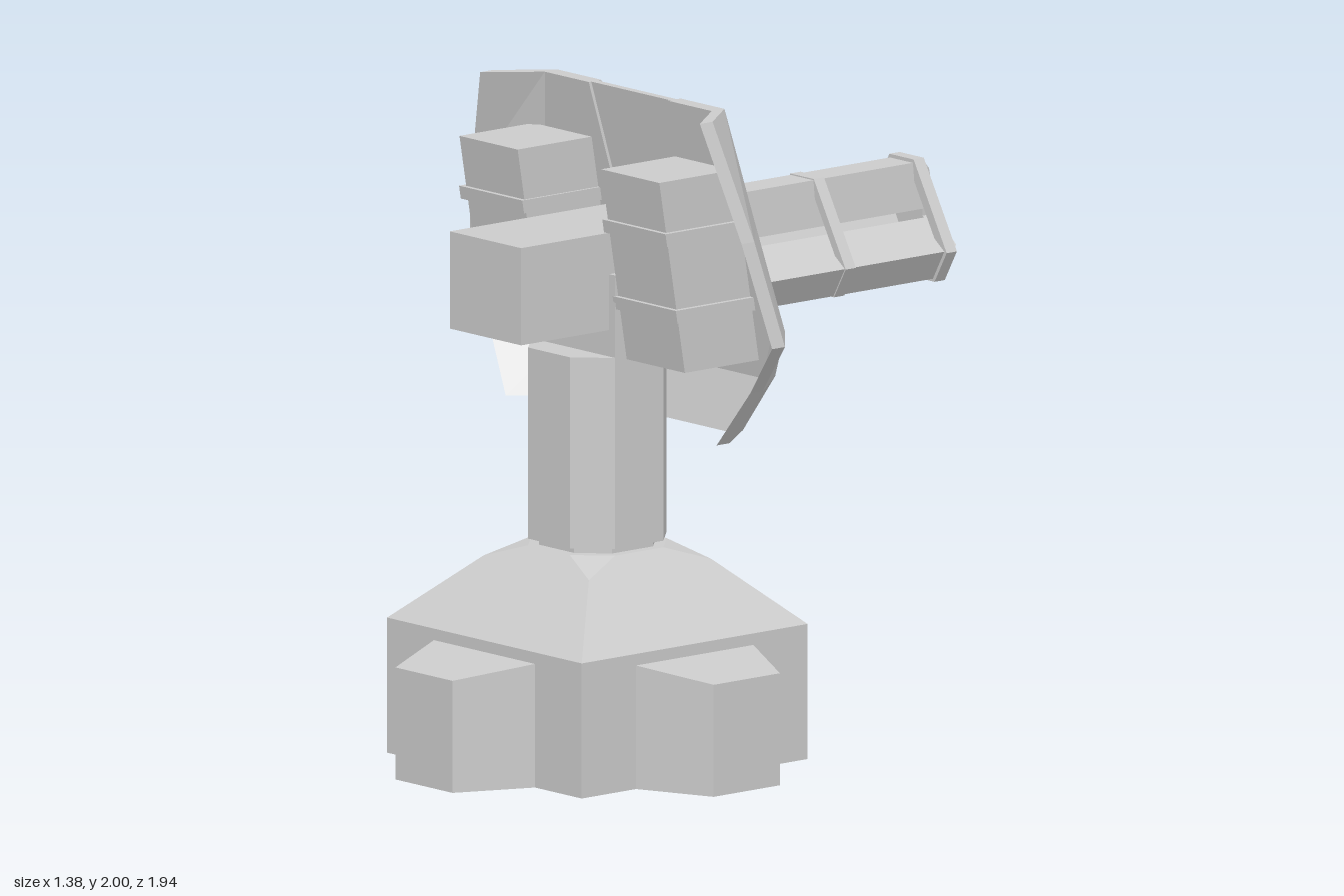
import * as THREE from 'three';

const material = new THREE.MeshStandardMaterial({ color: 0xcccccc, flatShading: true });
const shellMaterial = new THREE.MeshStandardMaterial({ color: 0xcccccc, flatShading: true, side: THREE.DoubleSide });

function add(parent, name, geometry, x = 0, y = 0, z = 0, mat = material) {
  const mesh = new THREE.Mesh(geometry, mat);
  mesh.name = name;
  mesh.position.set(x, y, z);
  parent.add(mesh);
  return mesh;
}

// Triangles from a list of polygons (each a counter-clockwise loop of points)
function fromPolygons(polygons) {
  const pos = [];
  for (const p of polygons)
    for (let i = 1; i < p.length - 1; i++) pos.push(...p[0], ...p[i], ...p[i + 1]);
  const g = new THREE.BufferGeometry();
  g.setAttribute('position', new THREE.Float32BufferAttribute(pos, 3));
  g.computeVertexNormals();
  return g;
}

// Solid from stacked loops, counter-clockwise when seen from above
function loft(loops, closedBottom = true) {
  const polys = [loops[loops.length - 1]];
  if (closedBottom) polys.push([...loops[0]].reverse());
  for (let k = 0; k < loops.length - 1; k++) {
    const lo = loops[k], up = loops[k + 1], n = lo.length;
    for (let i = 0; i < n; i++) {
      const j = (i + 1) % n;
      polys.push([lo[i], lo[j], up[j]], [lo[i], up[j], up[i]]);
    }
  }
  return fromPolygons(polys);
}

// Square loop of half width h; c < h cuts the corners
const octagon = (y, h, c) =>
  [[h, c], [h, -c], [c, -h], [-c, -h], [-h, -c], [-h, c], [-c, h], [c, h]].map(([x, z]) => [x, y, z]);
const rect = (y, x0, x1, z0, z1) => [[x1, y, z1], [x1, y, z0], [x0, y, z0], [x0, y, z1]];

// Bent plate: rows of back points from top to bottom, thickened towards +z
function plate(rows, t, isHole = () => false) {
  const polys = [];
  const front = ([x, y, z]) => [x, y, z + t];
  const solid = (r, c) => r >= 0 && c >= 0 && r < rows.length - 1 && c < rows[0].length - 1 && !isHole(r, c);
  for (let r = 0; r < rows.length - 1; r++)
    for (let c = 0; c < rows[0].length - 1; c++) {
      if (!solid(r, c)) continue;
      const q = [rows[r + 1][c], rows[r + 1][c + 1], rows[r][c + 1], rows[r][c]];
      polys.push(q.map(front), [...q].reverse());
      [[r + 1, c], [r, c + 1], [r - 1, c], [r, c - 1]].forEach(([nr, nc], i) => {
        const a = q[i], b = q[(i + 1) % 4];
        if (!solid(nr, nc)) polys.push([front(a), a, b, front(b)]);
      });
    }
  return fromPolygons(polys);
}

const outline = (points, Target = THREE.Shape) => new Target(points.map(([x, y]) => new THREE.Vector2(x, y)));

// Triangle with cut corners, pointing up
const cutTriangle = (R, Target) => outline([75, 105, 195, 225, 315, 345].map((d) => {
  const a = THREE.MathUtils.degToRad(d);
  return [R * Math.cos(a), R * Math.sin(a)];
}), Target);

function makeBase() {
  const base = new THREE.Group();
  base.name = 'base';
  base.position.z = 0.291;
  // Hollow pedestal, open underneath
  add(base, 'pedestal', loft([
    octagon(0, 0.443, 0.443), octagon(0.41, 0.443, 0.443), octagon(0.603, 0.24, 0.24), octagon(0.65, 0.19, 0.095),
  ], false), 0, 0, 0, shellMaterial);
  add(base, 'neck', loft([octagon(0.65, 0.16, 0.08), octagon(0.67, 0.16, 0.08)]));
  add(base, 'column', loft([octagon(0.67, 0.19, 0.095), octagon(1.25, 0.19, 0.095)]));
  // Tapered hollow buttress on each side
  const buttress = loft([
    [[0.68, 0, 0.13], [0.68, 0, -0.13], [0.443, 0, -0.23], [0.443, 0, 0.23]],
    [[0.68, 0.34, 0.13], [0.68, 0.34, -0.13], [0.443, 0.375, -0.23], [0.443, 0.375, 0.23]],
  ], false);
  for (let i = 0; i < 4; i++) add(base, 'buttress', buttress, 0, 0, 0, shellMaterial).rotation.y = i * Math.PI / 2;
  return base;
}

function makeShield() {
  const shield = new THREE.Group();
  shield.name = 'shield';
  // y, outer x, outer z, inner x, inner z, notch x
  const rows = [
    [2.0, 0.50, 0.27, 0.38, 0.12, 0.18],
    [1.645, 0.617, 0.207, 0.452, 0.058, 0.12],
    [1.33, 0.69, 0.15, 0.52, 0.003, 0.12],
    [1.18, 0.59, 0.15, 0.445, -0.023, 0.12],
    [1.01, 0.48, 0.187, 0.36, 0.03, 0.12],
  ].map(([y, xo, zo, xi, zi, n]) =>
    [[-xo, y, zo], [-xi, y, zi], [-n, y, zi], [n, y, zi], [xi, y, zi], [xo, y, zo]]);
  add(shield, 'shieldPlate', plate(rows, 0.05, (r, c) => r === 0 && c === 2));
  // Recessed panel in the notch
  const panel = [rows[0], rows[1]].map((r) => [r[2], r[3]].map(([x, y, z]) => [x, y, z + 0.015]));
  add(shield, 'notchPanel', plate(panel, 0.025));
  return shield;
}

// Leaning pod with two bands; the lean follows the shield
function makePod(side) {
  const pod = new THREE.Group();
  pod.name = side > 0 ? 'leftPod' : 'rightPod';
  const block = (y0, y1, x0, x1, grow) => loft([y0, y1].map((y) => {
    const z = 0.44 - 0.17 * (1.83 - y);
    const [a, b] = side > 0 ? [x0, x1] : [-x1, -x0];
    return rect(y, a, b, z - 0.29, z + grow);
  }));
  add(pod, 'podBody', block(1.24, 1.83, 0.19, 0.455, 0));
  for (const y of [1.397, 1.635]) add(pod, 'podBand', block(y, y + 0.04, 0.182, 0.47, 0.015));
  return pod;
}

function makeBarrel() {
  const barrel = new THREE.Group();
  barrel.name = 'barrel';
  barrel.position.set(0.025, 1.458, 0);
  const ring = (name, R, z, depth, hole) => {
    const s = cutTriangle(R, THREE.Shape);
    if (hole) s.holes.push(cutTriangle(hole, THREE.Path));
    add(barrel, name, new THREE.ExtrudeGeometry(s, { depth, bevelEnabled: false }), 0, 0, z);
  };
  ring('rearCollar', 0.213, -0.18, 0.07);
  ring('middleRing', 0.206, -0.53, 0.04, 0.17);
  ring('muzzleRing', 0.213, -0.92, 0.04, 0.17);

  // Three rails, wider towards the bore, each ending in a sloped muzzle wedge
  const section = outline([[0.055, -0.068], [0.195, -0.052], [0.195, 0.052], [0.055, 0.068]]);
  const rail = new THREE.ExtrudeGeometry(section, { depth: 0.74, bevelEnabled: false }).translate(0, 0, -0.92);
  const profile = outline([[0, -0.92], [0, -0.97], [0.04, -0.97], [0.17, -0.945], [0.2, -0.92]]);
  const wedge = new THREE.ExtrudeGeometry(profile, { depth: 0.1, bevelEnabled: false })
    .translate(0, 0, -0.05).rotateX(Math.PI / 2);
  for (let i = 0; i < 3; i++) {
    const angle = Math.PI / 2 + i * Math.PI * 2 / 3;
    add(barrel, 'rail', rail).rotation.z = angle;
    add(barrel, 'muzzleWedge', wedge).rotation.z = angle;
  }
  return barrel;
}

export function createModel() {
  const model = new THREE.Group();
  model.name = 'gunTurret';
  model.add(makeBase(), makeShield(), makePod(1), makePod(-1), makeBarrel());
  add(model, 'yoke', new THREE.BoxGeometry(0.38, 0.25, 0.28), 0, 1.375, 0.245);
  add(model, 'breech', new THREE.BoxGeometry(0.325, 0.295, 0.85), 0, 1.478, 0.305);
  return model;
}
